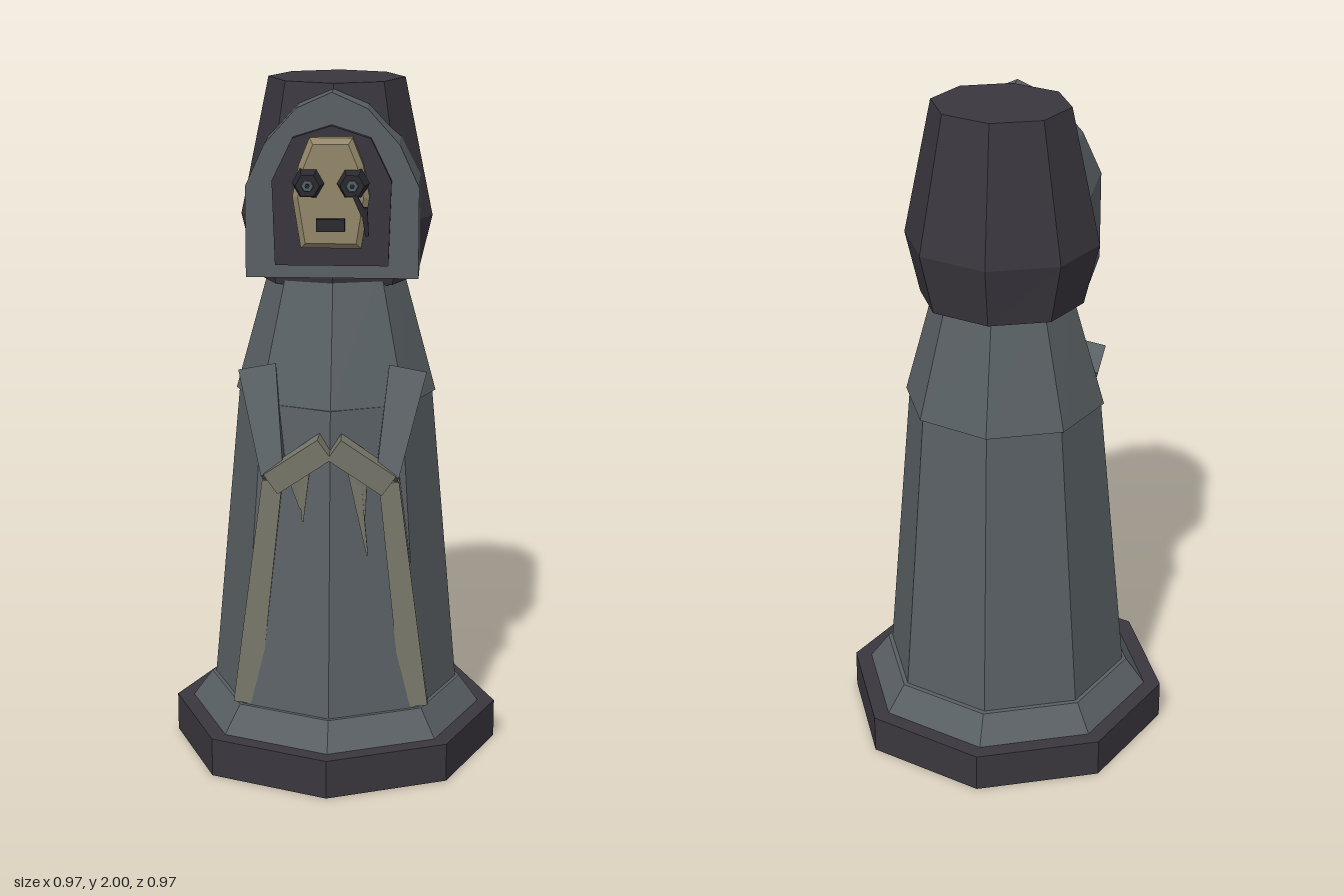
import * as THREE from 'three';

const mat = (name, color) => {
  const m = new THREE.MeshStandardMaterial({ color, flatShading: true });
  m.name = name;
  return m;
};

export function createModel() {
  const stone = mat('grey cloth', 0x596064);
  const dark = mat('dark stone', 0x3a363e);
  const skin = mat('pale mask', 0x93876a);
  const bone = mat('bone trim', 0x78776a);
  const black = mat('black metal', 0x2a2a30);
  const lens = mat('lens glass', 0x53626c);

  const root = new THREE.Group();
  root.name = 'hoodedStatue';
  const add = (name, geo, material, parent = root) => {
    const m = new THREE.Mesh(geo, material);
    m.name = name;
    parent.add(m);
    return m;
  };

  // Octagonal section between two rings, each ring: [y, radiusX, radiusZ, centreZ]
  const section = (name, lo, hi, material) => {
    const h = hi[0] - lo[0];
    const geo = new THREE.CylinderGeometry(1, 1, h, 8);
    const p = geo.attributes.position;
    for (let i = 0; i < p.count; i++) {
      const r = p.getY(i) > 0 ? hi : lo;
      p.setXYZ(i, p.getX(i) * r[1], r[0], p.getZ(i) * r[2] + r[3]);
    }
    geo.computeVertexNormals();
    return add(name, geo, material);
  };

  // Square bar from a to b, tapering from size wa x da to wb x db
  const bar = (name, a, b, [wa, da], [wb, db], material, parent) => {
    const A = new THREE.Vector3(...a), B = new THREE.Vector3(...b);
    const y = B.clone().sub(A), len = y.length();
    y.normalize();
    const z = new THREE.Vector3(0, 0, 1).addScaledVector(y, -y.z).normalize();
    const x = new THREE.Vector3().crossVectors(y, z);
    const geo = new THREE.BoxGeometry(1, len, 1);
    const p = geo.attributes.position;
    for (let i = 0; i < p.count; i++) {
      const end = p.getY(i) > 0;
      p.setX(i, p.getX(i) * (end ? wb : wa));
      p.setZ(i, p.getZ(i) * (end ? db : da));
    }
    geo.applyMatrix4(new THREE.Matrix4().makeBasis(x, y, z).setPosition(A.add(B).multiplyScalar(0.5)));
    geo.computeVertexNormals();
    return add(name, geo, material, parent);
  };

  // Symmetric plate: right half of the outline listed from bottom to top
  const plate = (name, half, z0, z1, material, bevel = 0) => {
    const pts = half.map(([x, y]) => new THREE.Vector2(x, y));
    for (const [x, y] of [...half].reverse()) if (x > 0) pts.push(new THREE.Vector2(-x, y));
    const geo = new THREE.ExtrudeGeometry(new THREE.Shape(pts), {
      depth: z1 - z0 - bevel, bevelEnabled: bevel > 0, bevelSegments: 1,
      bevelThickness: bevel, bevelSize: bevel, bevelOffset: -bevel,
    });
    geo.translate(0, 0, z0);
    return add(name, geo, material);
  };

  // Plinth
  section('plinthBase', [0, 0.485, 0.485, 0], [0.115, 0.485, 0.485, 0], dark);
  section('plinthStep', [0.115, 0.435, 0.435, 0], [0.195, 0.377, 0.377, 0], stone);

  // Robe and shoulders
  section('robe', [0.195, 0.365, 0.363, 0.002], [1.09, 0.285, 0.285, -0.025], stone);
  section('shoulders', [1.085, 0.295, 0.287, -0.03], [1.47, 0.19, 0.172, -0.048], stone);

  // Tall back of the head
  section('headLower', [1.42, 0.237, 0.207, -0.075], [1.6, 0.28, 0.247, -0.075], dark);
  section('headUpper', [1.6, 0.28, 0.247, -0.075], [2, 0.198, 0.174, -0.08], dark);

  // Hood, its dark opening and the mask
  plate('hood', [[0.245, 1.46], [0.245, 1.72], [0.19, 1.84], [0.1, 1.94], [0, 1.985]], -0.07, 0.175, stone);
  plate('hoodOpening', [[0.16, 1.5], [0.168, 1.74], [0.11, 1.86], [0, 1.895]], 0.17, 0.198, dark);
  plate('mask', [[0.085, 1.555], [0.108, 1.7], [0.09, 1.79], [0.06, 1.865]], 0.19, 0.24, skin, 0.016);

  // Mouth slot and goggles
  add('mouth', new THREE.BoxGeometry(0.08, 0.035, 0.03), black).position.set(0, 1.625, 0.245);
  for (const s of [-1, 1]) {
    const eye = new THREE.Group();
    eye.name = s > 0 ? 'leftGoggle' : 'rightGoggle';
    eye.position.set(s * 0.062, 1.74, 0);
    eye.rotation.y = 0;
    root.add(eye);
    const disc = (name, r0, r1, z0, z1, material) => {
      const geo = new THREE.CylinderGeometry(r1, r0, z1 - z0, 6);
      geo.rotateY(Math.PI / 6).rotateX(Math.PI / 2).translate(0, 0, (z0 + z1) / 2);
      add(name, geo, material, eye);
    };
    disc('goggleRim', 0.047, 0.034, 0.23, 0.283, black);
    disc('goggleGlass', 0.019, 0.016, 0.28, 0.288, lens);
    disc('gogglePupil', 0.007, 0.007, 0.285, 0.292, black);
  }
  // Drip hanging from the left goggle
  bar('dripUpper', [0.068, 1.715, 0.28], [0.095, 1.66, 0.275], [0.012, 0.012], [0.018, 0.014], black);
  bar('dripLower', [0.095, 1.68, 0.275], [0.103, 1.6, 0.272], [0.018, 0.014], [0.01, 0.01], black);

  // Arms, hands and trim bands, mirrored
  for (const s of [-1, 1]) {
    const side = new THREE.Group();
    side.name = s > 0 ? 'leftArm' : 'rightArm';
    root.add(side);
    bar('sleeve', [s * 0.213, 1.17, 0.11], [s * 0.162, 0.895, 0.26], [0.11, 0.105], [0.065, 0.075], stone, side);
    bar('hand', [s * 0.168, 0.885, 0.275], [s * 0.012, 0.995, 0.285], [0.07, 0.055], [0.07, 0.07], bone, side);
    bar('trimBand', [s * 0.168, 0.88, 0.23], [s * 0.248, 0.2, 0.238], [0.058, 0.055], [0.075, 0.06], bone, side);
  }

  // Pointed fingers hanging below the hands
  for (const [x0, y0, x1, y1] of [[-0.075, 0.92, -0.078, 0.77], [-0.1, 0.9, -0.085, 0.81],
    [0.07, 0.92, 0.108, 0.67], [0.09, 0.9, 0.1, 0.79]]) {
    bar('finger', [x0, y0, 0.285], [x1, y1, 0.288], [0.035, 0.03], [0.004, 0.004], bone);
  }
  return root;
}
